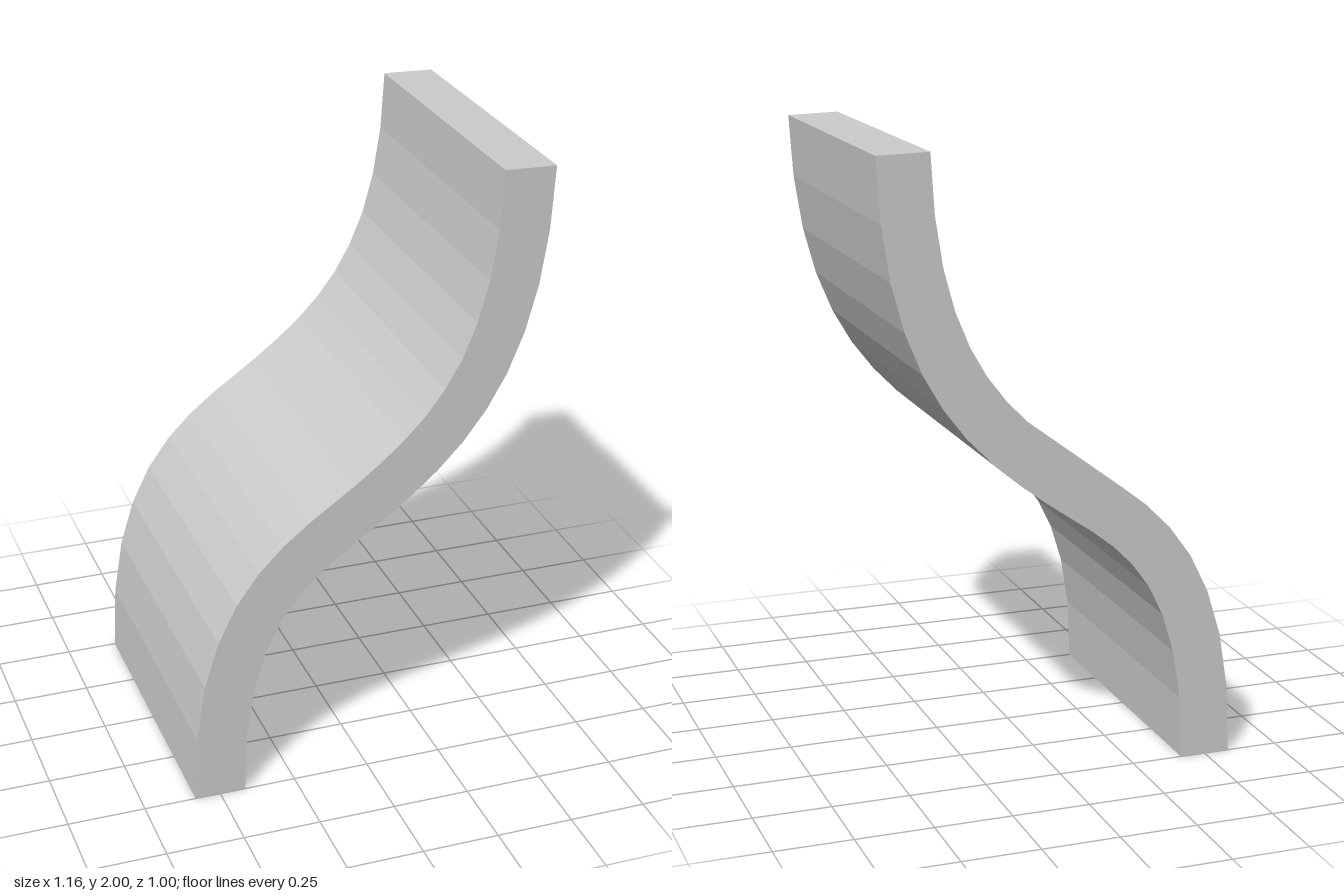
import * as THREE from 'three';

const HALF_THICKNESS = 0.083;
const DEPTH = 1;
const SEGMENTS = 9; // facets per half of the S
const v = (x, y) => new THREE.Vector2(x, y);

export function createModel() {
  const group = new THREE.Group();
  group.name = 'curvedPanel';

  // centre line of the S: lower bend, then upper bend
  const bends = [
    new THREE.CubicBezierCurve(v(-0.5, 0), v(-0.5, 0.7), v(-0.22, 0.804), v(0, 0.965)),
    new THREE.CubicBezierCurve(v(0, 0.965), v(0.265, 1.158), v(0.482, 1.37), v(0.498, 1.996)),
  ];

  // offset the centre line to both sides
  const left = [], right = [];
  bends.forEach((bend, b) => {
    for (let i = b; i <= SEGMENTS; i++) {
      const p = bend.getPoint(i / SEGMENTS);
      const t = bend.getTangent(i / SEGMENTS);
      const n = v(-t.y, t.x).multiplyScalar(HALF_THICKNESS);
      left.push(p.clone().add(n));
      right.push(p.clone().sub(n));
    }
  });

  // S-shaped section extruded front to back
  const section = new THREE.Shape([...right, ...left.reverse()]);
  const geometry = new THREE.ExtrudeGeometry(section, { depth: DEPTH, bevelEnabled: false });
  geometry.translate(0, 0, -DEPTH / 2);

  const panel = new THREE.Mesh(
    geometry,
    new THREE.MeshStandardMaterial({ color: 0xcccccc, flatShading: true })
  );
  panel.name = 'sCurvePanel';
  group.add(panel);
  return group;
}
